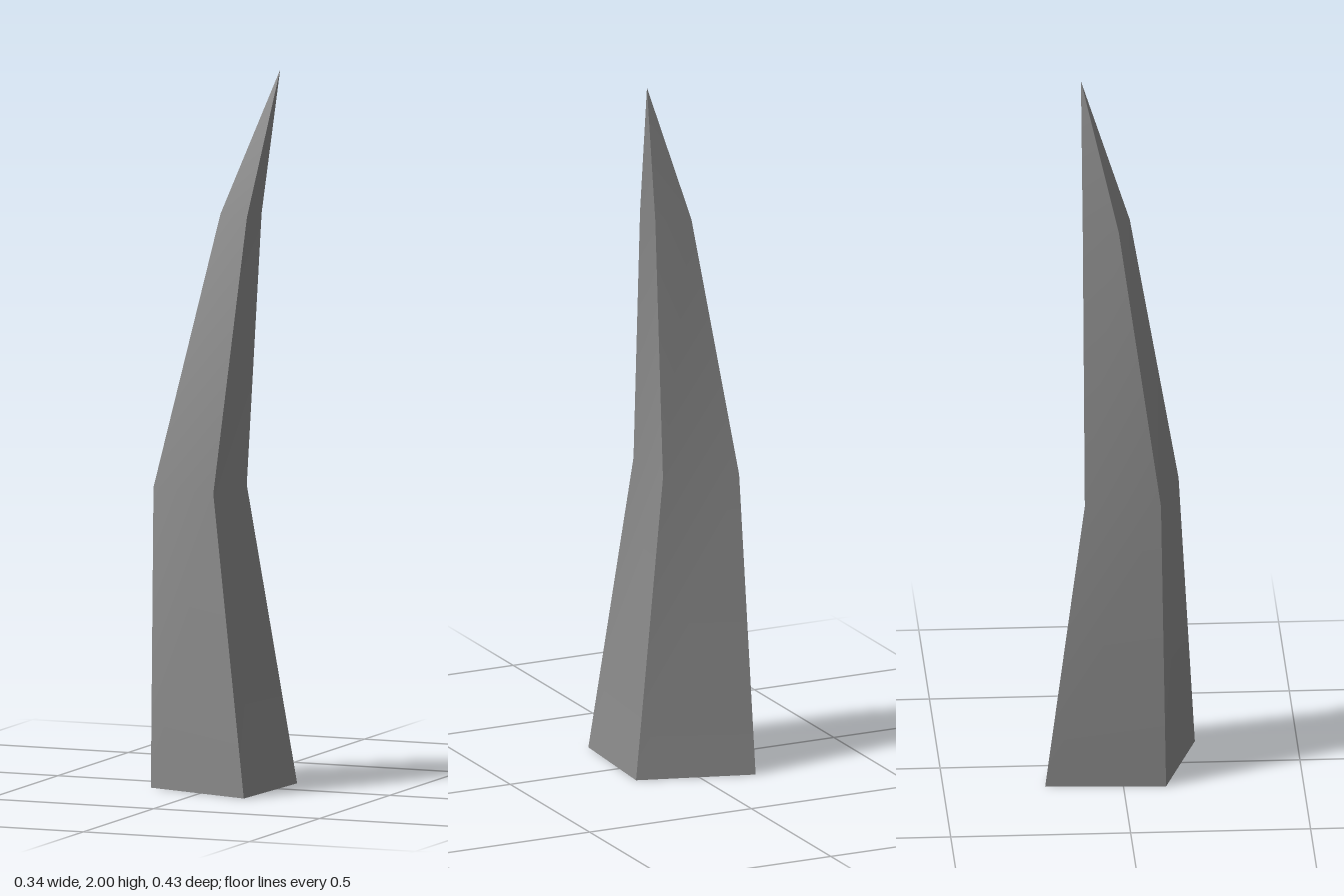
import * as THREE from 'three';

// Four-cornered cross-sections, counter-clockwise from above: [x, z]
const rings = [
  { y: 0, corners: [[-0.17, 0.118], [0.152, 0.217], [0.17, -0.12], [-0.152, -0.217]] },
  { y: 0.84, corners: [[-0.168, 0.104], [0.038, 0.165], [0.05, -0.045], [-0.155, -0.107]] },
  { y: 1.6, corners: [[-0.012, -0.004], [0.083, 0.032], [0.085, -0.068], [-0.009, -0.104]] },
];
const tip = [0.127, 2, -0.101];

export function createModel() {
  const group = new THREE.Group();
  group.name = 'bentSpike';

  const positions = [];
  const indices = [];

  // Each side is its own strip: smooth along its length, sharp at the corners
  for (let side = 0; side < 4; side++) {
    const start = positions.length / 3;
    for (const { y, corners } of rings) {
      for (const [x, z] of [corners[side], corners[(side + 1) % 4]]) positions.push(x, y, z);
    }
    positions.push(...tip);

    // Walls between neighbouring cross-sections
    for (let r = 0; r < rings.length - 1; r++) {
      const a = start + 2 * r;
      indices.push(a, a + 1, a + 3, a, a + 3, a + 2);
    }
    // Pointed end
    const top = start + 2 * (rings.length - 1);
    indices.push(top, top + 1, top + 2);
  }

  const geometry = new THREE.BufferGeometry();
  geometry.setAttribute('position', new THREE.Float32BufferAttribute(positions, 3));
  geometry.setIndex(indices);
  geometry.computeVertexNormals();

  // The base is open, so the inside shows too
  const material = new THREE.MeshStandardMaterial({ color: 0x898989, side: THREE.DoubleSide });
  const spike = new THREE.Mesh(geometry, material);
  spike.name = 'spike';
  group.add(spike);
  return group;
}
